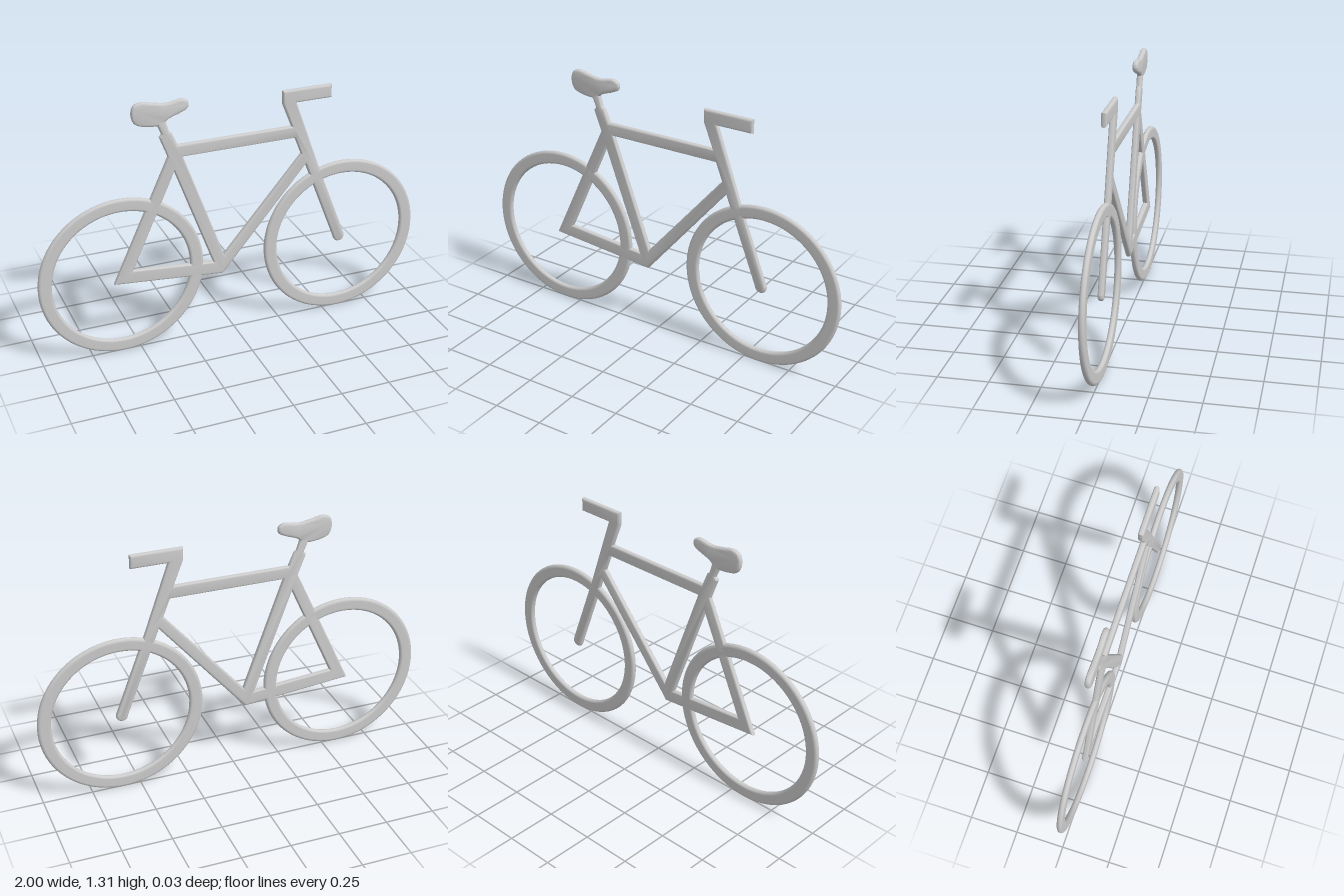
import * as THREE from 'three';
import { toCreasedNormals } from 'three/addons/utils/BufferGeometryUtils.js';

const HALF = 0.014; // half thickness, also the radius of the rounded edges
const material = new THREE.MeshStandardMaterial({ color: 0xcccccc });
const points = (list) => list.map(([x, y]) => new THREE.Vector2(x, y));

// Flat plate with fully rounded rims, centred on z = 0
function plate(name, shape) {
  const geometry = new THREE.ExtrudeGeometry(shape, {
    depth: 0.002, curveSegments: 10, bevelSegments: 5,
    bevelThickness: HALF - 0.001, bevelSize: HALF - 0.001, bevelOffset: 0.001 - HALF,
  });
  geometry.translate(0, 0, -0.001);
  const mesh = new THREE.Mesh(toCreasedNormals(geometry, 0.6), material);
  mesh.name = name;
  return mesh;
}

// Flat ring with rounded inner and outer rims
function wheel(name, x) {
  const inner = 0.35, outer = 0.418, profile = [];
  for (let i = 0; i <= 8; i++) {
    const a = -Math.PI / 2 + (i / 8) * Math.PI;
    profile.push(new THREE.Vector2(outer - HALF + HALF * Math.cos(a), HALF * Math.sin(a)));
  }
  for (let i = 0; i <= 8; i++) {
    const a = Math.PI / 2 + (i / 8) * Math.PI;
    profile.push(new THREE.Vector2(inner + HALF + HALF * Math.cos(a), HALF * Math.sin(a)));
  }
  profile.push(profile[0].clone());
  const geometry = new THREE.LatheGeometry(profile, 96);
  geometry.rotateX(Math.PI / 2);
  const mesh = new THREE.Mesh(geometry, material);
  mesh.name = name;
  mesh.position.set(x, 0.42, 0);
  return mesh;
}

export function createModel() {
  const group = new THREE.Group();
  group.name = 'bicycle';

  group.add(wheel('rearWheel', -0.582), wheel('frontWheel', 0.582));

  // Frame, fork, handlebar and seat post in one outline
  const frame = new THREE.Shape(points([
    [-0.625, 0.383], [-0.06, 0.33], [0.38, 0.855], [0.55, 0.412],
  ]));
  // Rounded fork tip
  frame.absarc(0.58, 0.415, 0.03, Math.PI * 1.1, Math.PI * 2.1, false);
  [
    [0.455, 0.825], [0.325, 1.19], [0.51, 1.19], [0.51, 1.26], [0.25, 1.26], [0.25, 1.195],
    [0.3, 1.07], [-0.285, 1.07], [-0.312, 1.135], [-0.325, 1.145], [-0.345, 1.21],
    [-0.395, 1.21], [-0.363, 1.135], [-0.375, 1.12], [-0.335, 1.015],
  ].forEach(([x, y]) => frame.lineTo(x, y));
  // Main opening and rear opening
  frame.holes.push(
    new THREE.Path(points([[-0.26, 1.005], [0.32, 1.005], [0.355, 0.915], [-0.053, 0.437]])),
    new THREE.Path(points([[-0.305, 0.935], [-0.112, 0.407], [-0.525, 0.445]])),
  );
  group.add(plate('frame', frame));

  // Saddle silhouette from a smooth closed curve
  const saddleCurve = new THREE.CatmullRomCurve3([
    [-0.508, 1.25], [-0.49, 1.203], [-0.42, 1.181], [-0.36, 1.183], [-0.325, 1.208],
    [-0.265, 1.23], [-0.23, 1.25], [-0.228, 1.28], [-0.255, 1.297], [-0.335, 1.287],
    [-0.4, 1.297], [-0.46, 1.308], [-0.496, 1.295],
  ].map(([x, y]) => new THREE.Vector3(x, y, 0)), true);
  const outline = saddleCurve.getPoints(64).slice(0, -1).map((p) => new THREE.Vector2(p.x, p.y));
  group.add(plate('saddle', new THREE.Shape(outline)));

  return group;
}
